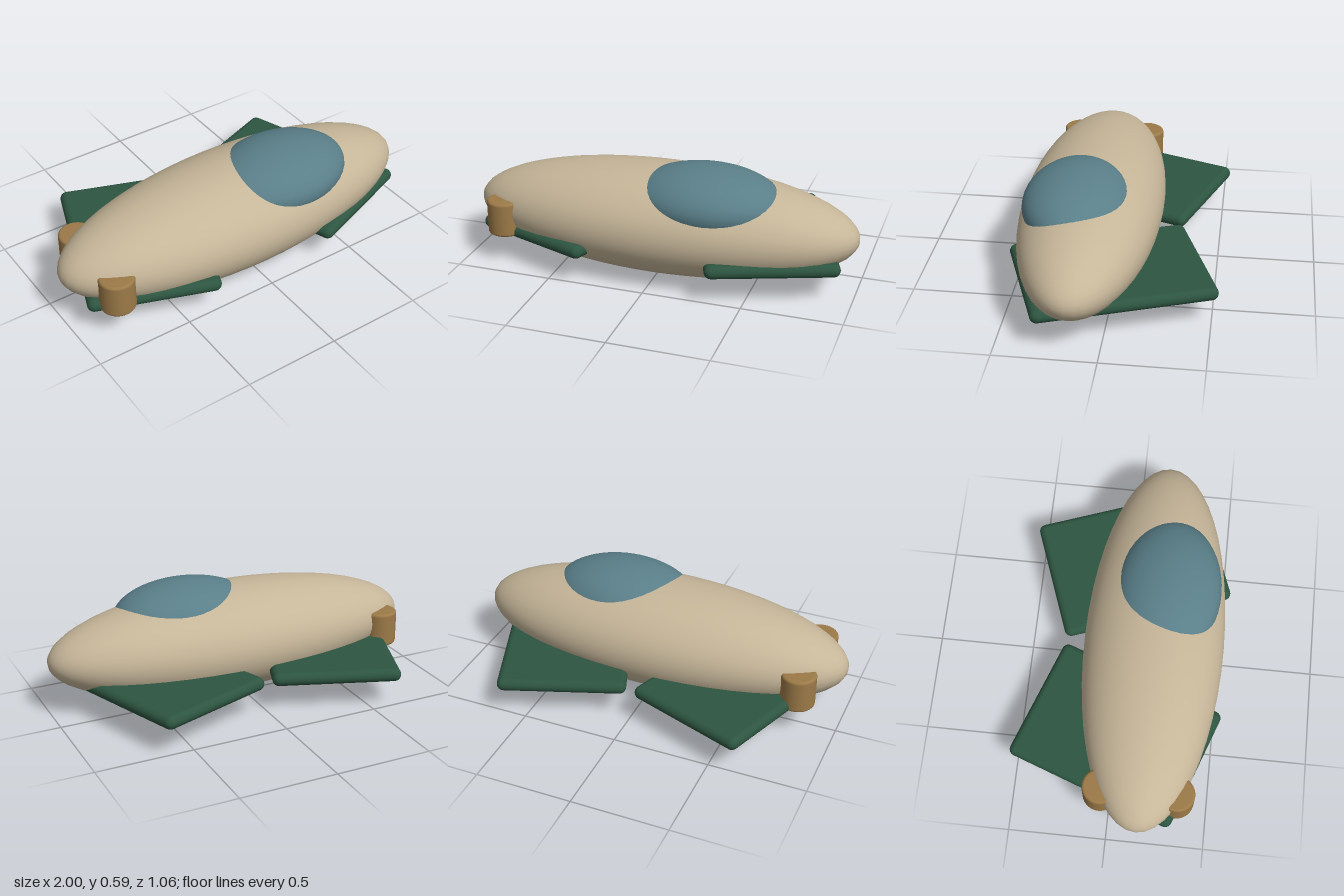
import * as THREE from 'three';
import { RoundedBoxGeometry } from 'three/addons/geometries/RoundedBoxGeometry.js';

function material(name, color) {
  const m = new THREE.MeshStandardMaterial({ color });
  m.name = name;
  return m;
}

export function createModel() {
  const model = new THREE.Group();
  model.name = 'aircraft';

  const cream = material('cream', 0xc6b699);
  const glass = material('canopy blue', 0x5a7f89);
  const green = material('wing green', 0x2d5541);
  const bronze = material('thruster bronze', 0x9c7a48);

  const add = (name, geometry, mat, x, y, z) => {
    const mesh = new THREE.Mesh(geometry, mat);
    mesh.name = name;
    mesh.position.set(x, y, z);
    model.add(mesh);
    return mesh;
  };
  const ellipsoid = (rx, ry, rz) => new THREE.SphereGeometry(1, 48, 32).scale(rx, ry, rz);

  // Long smooth hull and the bubble canopy set into its upper front
  add('fuselage', ellipsoid(1, 0.272, 0.362), cream, 0, 0.275, 0.152);
  add('canopy', ellipsoid(0.385, 0.17, 0.273), glass, 0.24, 0.42, 0.2);

  // Pair of rounded slab wings, toed outwards
  const wing = new RoundedBoxGeometry(0.66, 0.07, 0.91, 4, 0.035);
  for (const side of [1, -1]) {
    const mesh = add(side > 0 ? 'leftWing' : 'rightWing', wing, green, side * 0.4825, 0.174, 0);
    mesh.rotation.y = side * THREE.MathUtils.degToRad(20);
  }

  // Upright thruster drums with softened rims, either side of the tail
  const r = 0.09, h = 0.0915, f = 0.015;
  const profile = [new THREE.Vector2(0, -h)];
  for (const [cy, start] of [[-h + f, -Math.PI / 2], [h - f, 0]]) {
    for (let i = 0; i <= 4; i++) {
      const a = start + (i / 4) * Math.PI / 2;
      profile.push(new THREE.Vector2(r - f + f * Math.cos(a), cy + f * Math.sin(a)));
    }
  }
  profile.push(new THREE.Vector2(0, h));
  const drum = new THREE.LatheGeometry(profile, 32);
  add('frontThruster', drum, bronze, -0.8, 0.245, 0.34);
  add('backThruster', drum, bronze, -0.8, 0.245, -0.045);

  return model;
}
